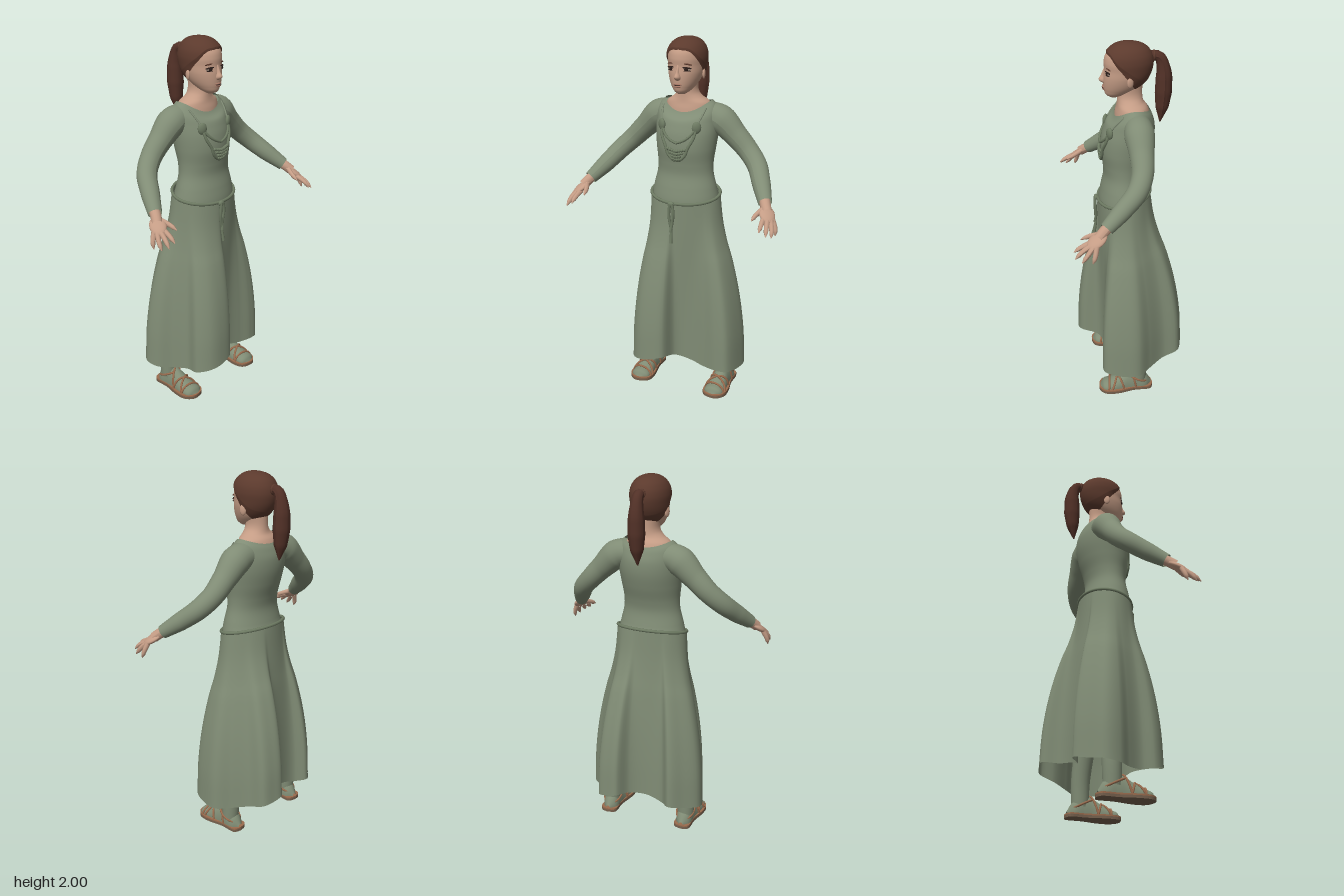
import * as THREE from 'three';
import { ParametricGeometry } from 'three/addons/geometries/ParametricGeometry.js';

const V = (x, y, z) => new THREE.Vector3(x, y, z);
const lerp = THREE.MathUtils.lerp;
const mat = (name, color, side = THREE.FrontSide) => {
  const m = new THREE.MeshStandardMaterial({ color, side });
  m.name = name;
  return m;
};

// Smooth lookup in a table of rows [key, ...values]
function table(rows) {
  const size = rows[0].length - 1;
  const curve = new THREE.CubicInterpolant(
    new Float32Array(rows.map(r => r[0])), new Float32Array(rows.flatMap(r => r.slice(1))), size);
  return k => Array.from(curve.evaluate(k));
}

// Body sections: [height, half width, front z, back z]
const torso = table([
  [1.08, .19, .134, -.138], [1.14, .19, .134, -.138], [1.2, .178, .124, -.122], [1.28, .159, .108, -.11],
  [1.34, .157, .112, -.12], [1.42, .166, .122, -.145], [1.5, .174, .115, -.163],
  [1.56, .175, .096, -.165], [1.62, .17, .075, -.155], [1.65, .155, .058, -.147], [1.67, .131, .046, -.137]]);
const neck = table([
  [1.58, .13, .05, -.14], [1.63, .127, .043, -.136], [1.66, .116, .036, -.124],
  [1.685, .078, .033, -.106], [1.71, .057, .032, -.1], [1.79, .053, .03, -.1]]);
const head = table([
  [1.712, .02, .07, .03], [1.725, .039, .09, -.01], [1.75, .06, .1, -.06], [1.78, .077, .104, -.1],
  [1.82, .09, .104, -.128], [1.86, .095, .099, -.143], [1.9, .097, .1, -.147], [1.94, .087, .088, -.135],
  [1.97, .064, .058, -.108], [1.985, .039, .028, -.076], [1.993, .012, -.006, -.034]]);
const nose = table([
  [1.786, .008, .1, .08], [1.794, .015, .116, .08], [1.806, .017, .127, .08],
  [1.83, .01, .115, .08], [1.87, .009, .098, .08]]);
const neckDip = y => .058 * THREE.MathUtils.smoothstep(y, 1.55, 1.67);

function sectionPoint(section, angle, y, offset, target) {
  const [rx, zf, zb] = section(y);
  return target.set(Math.sin(angle) * (rx + offset), y,
    (zf + zb) / 2 + Math.cos(angle) * ((zf - zb) / 2 + offset));
}
const loft = (section, y0, y1, rows = 40) => new ParametricGeometry(
  (u, v, p) => sectionPoint(section, u * Math.PI * 2, lerp(y0, y1, v), 0, p), 48, rows);

// z of the front surface of a section at a given x and y
function frontZ(section, x, y) {
  const [rx, zf, zb] = section(y);
  return (zf + zb) / 2 + (zf - zb) / 2 * Math.sqrt(Math.max(0, 1 - (x / rx) ** 2));
}

// Tube whose radius follows a list, with optional lengthwise ridges
function taper(points, radii, steps = 32, sides = 16, ridge = 0) {
  const path = new THREE.CatmullRomCurve3(points);
  const geo = new THREE.TubeGeometry(path, steps, 1, sides);
  const pos = geo.attributes.position, v = V();
  for (let i = 0; i <= steps; i++) {
    const c = path.getPointAt(i / steps), f = i / steps * (radii.length - 1);
    const k = Math.min(Math.floor(f), radii.length - 2);
    const r = lerp(radii[k], radii[k + 1], f - k);
    for (let j = 0; j <= sides; j++) {
      const n = i * (sides + 1) + j;
      v.fromBufferAttribute(pos, n).sub(c).multiplyScalar(r * (1 + (j % 2 ? -ridge : ridge))).add(c);
      pos.setXYZ(n, v.x, v.y, v.z);
    }
  }
  geo.computeVertexNormals();
  return geo;
}
const cord = (points, r, closed = false, steps = 40) =>
  new THREE.TubeGeometry(new THREE.CatmullRomCurve3(points, closed), steps, r, 7, closed);

export function createModel() {
  const model = new THREE.Group();
  const cloth = mat('sage cloth', 0x808c75, THREE.DoubleSide);
  const trim = mat('green cord', 0x6e7b63);
  const skin = mat('skin', 0xc49c85);
  const hairMat = mat('brown hair', 0x5c3a2d, THREE.DoubleSide);
  const tailMat = mat('dark brown hair', 0x523127);
  const white = mat('eye white', 0x9a877a);
  const dark = mat('eye dark', 0x2c1f1b);
  const lip = mat('lips', 0xa87a68);
  const leather = mat('tan leather', 0x9a6c4e);
  const soleMat = mat('brown sole', 0x75604d);
  const add = (name, geo, material, parent = model) => {
    const m = new THREE.Mesh(geo, material);
    m.name = name;
    parent.add(m);
    return m;
  };
  const ball = (name, material, p, sx, sy, sz, ry = 0, rz = 0) => {
    const m = add(name, new THREE.SphereGeometry(1, 18, 12), material);
    m.position.set(...p);
    m.scale.set(sx, sy, sz);
    m.rotation.set(0, ry, rz);
    return m;
  };

  // Bodice with a neckline scooped deep in front and shallow behind
  add('bodice', new ParametricGeometry((u, v, p) => {
    const a = u * Math.PI * 2, y = lerp(1.08, 1.67, v), c = Math.cos(a);
    sectionPoint(torso, a, y, 0, p);
    p.y -= neckDip(y) * c * c * (c > 0 ? 1 : .5);
  }, 56, 48), cloth);

  // Skirt: an oval waist easing into a wide, folded hem
  const hem = new THREE.CatmullRomCurve3([
    [0, .15], [.08, .12], [.17, .13], [.25, .15], [.31, .14], [.35, .03], [.35, -.05], [.29, -.12],
    [.23, -.2], [.21, -.29], [.15, -.315], [.09, -.32], [.04, -.24], [-.05, -.2], [-.14, -.2],
    [-.2, -.25], [-.27, -.2], [-.34, -.13], [-.335, -.05], [-.28, .02], [-.24, .1], [-.25, .18],
    [-.2, .24], [-.13, .26], [-.04, .245],
  ].map(([x, z]) => V(x, .155 + .06 * (z / .3) ** 2 + .045 * Math.exp(-((x / .1) ** 2)), z)), true);
  const flare = table([[0, 1], [.21, .94], [.42, .77], [.63, .48], [.73, .29], [.84, .13], [1, 0]]);
  const waistY = a => 1.158 - .03 * Math.cos(a);
  add('skirt', new ParametricGeometry((u, v, p) => {
    const h = hem.getPoint(u % 1), t = flare(v)[0];
    const raw = Math.atan2(h.x, h.z), d = u * Math.PI * 2 - raw;
    const a = raw + .35 * Math.atan2(Math.sin(d), Math.cos(d));
    p.set(lerp(.197 * Math.sin(a), h.x, t), lerp(h.y, waistY(a), v),
      lerp(-.003 + .142 * Math.cos(a), h.z, t));
  }, 125, 36), cloth);

  // Rope belt with a knot and two hanging ends
  const belt = [];
  for (let i = 0; i < 24; i++) {
    const a = i / 24 * Math.PI * 2;
    belt.push(V(.196 * Math.sin(a), waistY(a), -.003 + .142 * Math.cos(a)));
  }
  add('belt', cord(belt, .009, true, 72), trim);
  ball('beltKnot', trim, [-.02, 1.125, .149], .02, .016, .012);
  add('beltEnd', cord([V(-.025, 1.13, .155), V(-.03, 1.06, .154), V(-.018, .98, .152), V(-.015, .905, .162)], .008), trim);
  add('beltEnd', cord([V(-.012, 1.13, .155), V(-.004, 1.08, .154), V(-.012, 1.02, .151), V(-.02, .97, .157)], .008), trim);

  // Neck and head
  add('neck', loft(neck, 1.58, 1.79), skin);
  add('head', loft(head, 1.712, 1.993, 50), skin);
  ball('chin', skin, [0, 1.728, .06], .03, .015, .03);
  add('nose', loft(nose, 1.786, 1.87, 16), skin);

  // Hair pulled back from a curved hairline
  const hairline = table([[0, 1.945], [.7, 1.93], [1.15, 1.875], [1.57, 1.825], [2.1, 1.775], [3.15, 1.748]]);
  add('hair', new ParametricGeometry((u, v, p) => {
    const a = u * Math.PI * 2, low = hairline(Math.min(a, Math.PI * 2 - a))[0];
    sectionPoint(head, a, lerp(low, 1.993, v), lerp(.002, .009, Math.min(1, v * 5)), p);
    p.y += .007 * v;
    if (v > .995) p.set(0, 2, -.02);
  }, 64, 40), hairMat);
  add('ponytail', taper([V(0, 1.925, -.135), V(0, 1.915, -.185), V(0, 1.85, -.208), V(0, 1.76, -.21),
    V(0, 1.66, -.205), V(0, 1.56, -.195)], [.022, .03, .041, .043, .033, .003], 30, 18, .07), tailMat);
  const tie = add('hairTie', new THREE.TorusGeometry(.022, .007, 8, 20), hairMat);
  tie.position.set(0, 1.922, -.158);

  // Mouth
  ball('upperLip', lip, [0, 1.769, .103], .025, .005, .007);
  ball('lowerLip', lip, [0, 1.757, .102], .021, .006, .007);
  ball('mouthLine', dark, [0, 1.763, .105], .02, .0014, .006);

  // Sole outline as x, z
  const sole = [[.005, -.14], [.045, -.12], [.048, -.03], [.067, .06], [.064, .13], [.02, .17],
    [-.05, .155], [-.068, .09], [-.046, -.03], [-.045, -.12]];
  // Foot sections along z: half width, height
  const foot = table([[-.13, .012, .025], [-.1, .04, .075], [-.04, .045, .12], [0, .046, .11],
    [.05, .053, .08], [.11, .056, .05], [.15, .042, .035], [.164, .008, .01]]);

  for (const s of [1, -1]) {
    const side = s > 0 ? 'left' : 'right';
    const S = (x, y, z) => V(s * x, y, z);
    const onFace = (x, y, out) => [s * x, y, frontZ(head, x, y) + out];
    const onChest = (x, y, out = .006) =>
      S(x, y - neckDip(y) * (1 - (x / torso(y)[0]) ** 2), frontZ(torso, x, y) + out);

    // Eye, lashes, brow and ear
    ball(side + 'Eye', white, onFace(.044, 1.846, -.003), .022, .009, .006, s * .4);
    ball(side + 'Iris', dark, onFace(.043, 1.846, .001), .0115, .0085, .004, s * .4);
    ball(side + 'Lashes', dark, onFace(.045, 1.854, 0), .025, .0045, .005, s * .4, -s * .1);
    ball(side + 'LowerLashes', dark, onFace(.045, 1.838, -.001), .021, .0025, .005, s * .4);
    ball(side + 'Brow', hairMat, onFace(.046, 1.873, -.002), .026, .004, .005, s * .4, -s * .15);
    ball(side + 'Ear', skin, [s * .093, 1.812, -.025], .009, .028, .018, s * .35);

    // Sleeve
    add(side + 'Sleeve', taper([S(.08, 1.588, -.058), S(.17, 1.573, -.06), S(.262, 1.492, -.062), S(.34, 1.415, -.055),
      S(.405, 1.35, -.018), S(.455, 1.285, .055), S(.512, 1.212, .148)],
      [.068, .079, .063, .056, .053, .048, .036], 44, 24), cloth);

    // Hand
    add(side + 'Wrist', taper([S(.495, 1.235, .115), S(.515, 1.208, .155), S(.538, 1.178, .19)], [.028, .028, .027], 10), skin);
    const palm = ball(side + 'Palm', skin, [s * .541, 1.17, .197], .043, .018, .06);
    const along = S(.045, -.055, .085).normalize(), across = S(.05, -.012, -.035);
    const up = along.clone().cross(across).normalize();
    across.crossVectors(up, along);
    palm.quaternion.setFromRotationMatrix(new THREE.Matrix4().makeBasis(across, up, along));
    const fingers = [
      ['Index', [.532, 1.155, .225], [.537, 1.135, .275], [.54, 1.11, .314]],
      ['Middle', [.553, 1.15, .227], [.566, 1.122, .275], [.575, 1.09, .31]],
      ['Ring', [.567, 1.147, .217], [.586, 1.11, .25], [.594, 1.076, .277]],
      ['Little', [.572, 1.15, .202], [.592, 1.105, .212], [.597, 1.07, .224]],
      ['Thumb', [.515, 1.19, .185], [.494, 1.17, .232], [.485, 1.15, .274]]];
    for (const [name, ...pts] of fingers)
      add(side + name + 'Finger', taper(pts.map(p => S(...p)), [.014, .0135, .0125, .011, .002], 12, 10), skin);

    // Brooch, shoulder strap and necklace strands
    const b = onChest(.1, 1.545, .006);
    ball(side + 'Brooch', trim, b.toArray(), .025, .032, .014, s * .5);
    add(side + 'Strap', cord([b, onChest(.107, 1.585, .002), onChest(.116, 1.625, .002), onChest(.124, 1.655, .001)], .005), cloth);
    add(side + 'UpperStrand', cord([b, onChest(.07, 1.5), onChest(.035, 1.475), onChest(0, 1.462)], .007), trim);
    add(side + 'LowerStrand', cord([b, onChest(.09, 1.49), onChest(.065, 1.44), onChest(.05, 1.4), onChest(.02, 1.37), onChest(0, 1.365)], .008), trim);
    for (let row = 0; row < 4; row++)
      for (let i = 0; i <= 3 - row * .6; i++)
        ball('pendantBead', trim, onChest(.006 + i * .014, 1.42 - row * .016 + i * .003, .008).toArray(), .009, .009, .009);

    // Leg, foot and sandal
    add(side + 'Leg', taper([S(.235, .06, -.055), S(.232, .2, -.055), S(.19, .5, -.03), S(.11, 1.0, 0)],
      [.047, .056, .065, .075], 20, 20), cloth);
    const shoe = new THREE.Group();
    shoe.name = side + 'Sandal';
    shoe.position.x = s * .232;
    model.add(shoe);
    const footPoint = (a, z, out = 0) => {
      const [w, h] = foot(z), q = Math.sin(a);
      return V(Math.cos(a) * (w + out), .02 + (q < 0 ? q * .008 : q * (h - .01 + out)), z);
    };
    add(side + 'Foot', new ParametricGeometry((u, v, p) =>
      p.copy(footPoint(u * Math.PI * 2, lerp(-.13, .164, v))), 28, 30), cloth, shoe);
    const outline = new THREE.Shape(new THREE.SplineCurve([...sole, sole[0]]
      .map(([x, z]) => new THREE.Vector2(s * x, -z))).getPoints(50));
    [[leather, .014, .008], [soleMat, 0, .014]].forEach(([m, y, depth]) => {
      const g = new THREE.ExtrudeGeometry(outline, { depth, bevelEnabled: false });
      add('sole', g.rotateX(-Math.PI / 2).translate(0, y, 0), m, shoe);
    });
    for (const [z0, z1] of [[.12, .1], [.1, .03], [.03, .1], [-.04, .03]]) {
      const pts = [];
      for (let i = 0; i <= 8; i++) pts.push(footPoint(i / 8 * Math.PI, lerp(z0, z1, i / 8), .003));
      add('sandalStrap', cord(pts, .006, false, 20), leather, shoe);
    }
    // Strap around the heel, rising toward the instep
    const heel = [];
    for (let i = 0; i < 12; i++) {
      const a = i / 6 * Math.PI;
      heel.push(V(.05 * Math.sin(a), .075 + .03 * Math.cos(a), -.05 + .06 * Math.cos(a)));
    }
    add('heelStrap', cord(heel, .006, true), leather, shoe);
  }
  return model;
}
